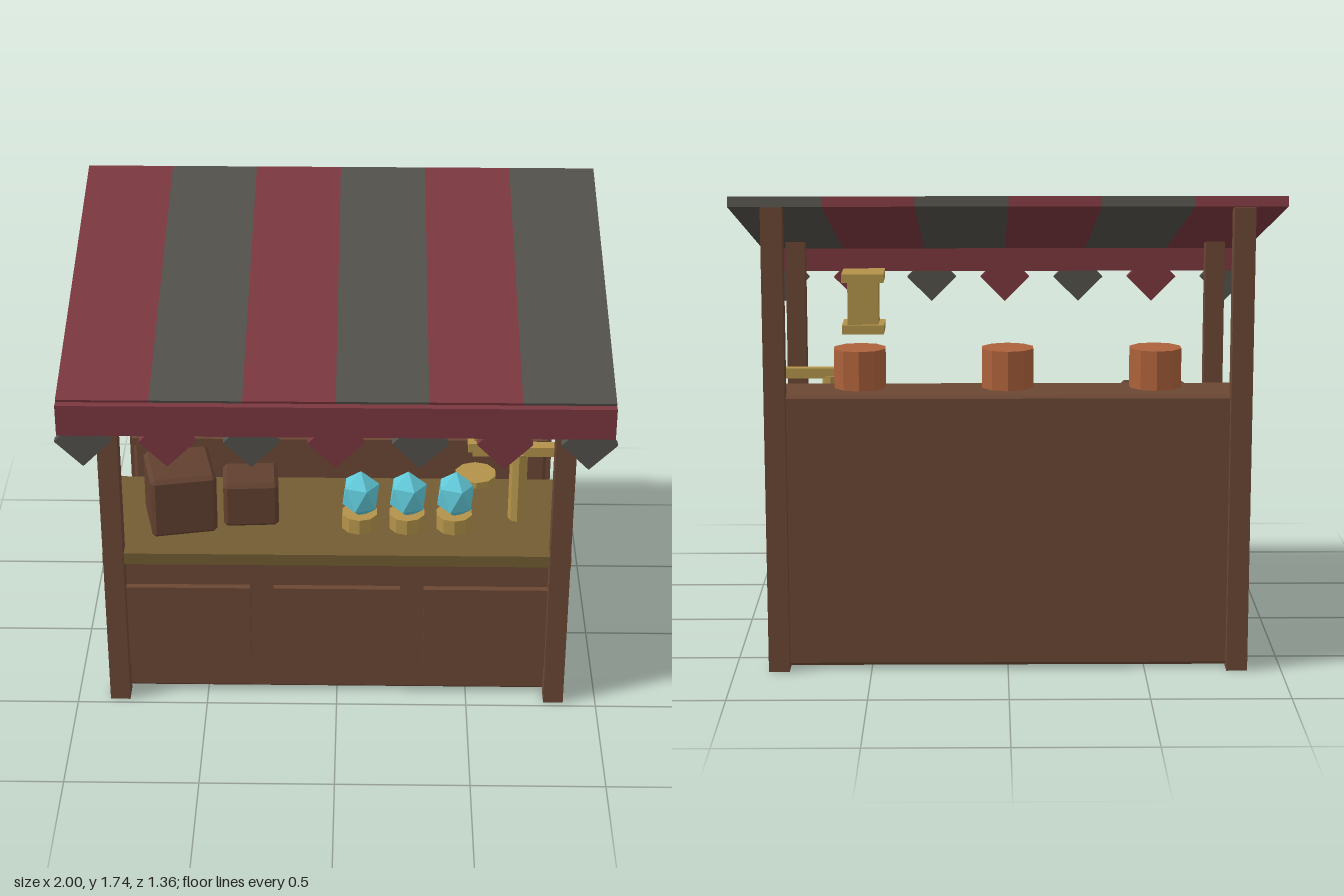
import * as THREE from 'three';
import { ConvexGeometry } from 'three/addons/geometries/ConvexGeometry.js';

const mat = (name, color) => {
  const m = new THREE.MeshStandardMaterial({ color, flatShading: true });
  m.name = name;
  return m;
};

// Box with every edge cut by a single chamfer
function chamferBox(w, h, d, c) {
  const points = [];
  for (const sx of [-1, 1]) for (const sy of [-1, 1]) for (const sz of [-1, 1]) {
    const [x, y, z] = [w / 2, h / 2, d / 2];
    points.push(
      new THREE.Vector3(sx * x, sy * (y - c), sz * (z - c)),
      new THREE.Vector3(sx * (x - c), sy * y, sz * (z - c)),
      new THREE.Vector3(sx * (x - c), sy * (y - c), sz * z));
  }
  return new ConvexGeometry(points);
}

export function createModel() {
  const wood = mat('wood', 0x6b4734);
  const crateWood = mat('crate wood', 0x624130);
  const topWood = mat('countertop wood', 0x735c33);
  const gold = mat('gold', 0xb3934a);
  const red = mat('red cloth', 0x7a373f);
  const grey = mat('grey cloth', 0x52504a);
  const clay = mat('clay', 0xad623b);
  const cyan = mat('crystal', 0x61c8d8);

  const model = new THREE.Group();
  model.name = 'marketStall';

  const add = (name, geometry, material, x, y, z, parent = model) => {
    const mesh = new THREE.Mesh(geometry, material);
    mesh.name = name;
    mesh.position.set(x, y, z);
    parent.add(mesh);
    return mesh;
  };
  // Box given by its limits on each axis
  const box = (name, material, [x0, x1], [y0, y1], [z0, z1], chamfer = 0) => {
    const s = [x1 - x0, y1 - y0, z1 - z0];
    const g = chamfer ? chamferBox(...s, chamfer) : new THREE.BoxGeometry(...s);
    return add(name, g, material, (x0 + x1) / 2, (y0 + y1) / 2, (z0 + z1) / 2);
  };
  const drum = (name, material, r, h, sides, x, y, z) =>
    add(name, new THREE.CylinderGeometry(r, r, h, sides), material, x, y, z);

  // Corner posts
  for (const x of [-0.8375, 0.8375]) {
    box('frontPost', wood, [x - 0.038, x + 0.038], [0, 1.44], [0.4, 0.478]);
    box('backPost', wood, [x - 0.038, x + 0.038], [0, 1.705], [-0.677, -0.6]);
  }

  // Counter with raised front panels
  box('counterBody', wood, [-0.838, 0.838], [0.01, 0.607], [-0.067, 0.405], 0.014);
  box('countertop', topWood, [-0.88, 0.88], [0.606, 0.653], [-0.113, 0.455]);
  for (const x of [-0.57, 0, 0.57])
    box('frontPanel', wood, [x - 0.24, x + 0.24], [0.13, 0.485], [0.4, 0.43]);

  // Back cabinet with shelves
  box('backCabinet', wood, [-0.838, 0.838], [0.01, 1.022], [-0.635, -0.389], 0.012);
  for (const y of [0.725, 0.965])
    box('shelf', wood, [-0.83, 0.83], [y - 0.016, y + 0.016], [-0.41, -0.263]);
  box('cabinetSeam', crateWood, [-0.75, 0.75], [0.824, 0.834], [-0.395, -0.383]);

  // Pots on the cabinet
  for (const x of [-0.54, 0, 0.54])
    drum('pot', clay, 0.098, 0.18, 10, x, 1.077, -0.46);

  // Sloping striped canopy
  const canopy = new THREE.Group();
  canopy.name = 'canopy';
  canopy.position.set(0, 1.563, -0.012);
  canopy.rotation.x = 0.243;
  model.add(canopy);
  const w = 1.98 / 6;
  for (let i = 0; i < 6; i++)
    add('canopyStripe', new THREE.BoxGeometry(w, 0.037, 1.358), i % 2 ? grey : red,
      (i - 2.5) * w, 0, 0, canopy);

  // Valance and pointed flags
  box('valance', red, [-0.99, 0.99], [1.288, 1.408], [0.644, 0.678]);
  for (let i = 0; i < 7; i++) {
    const flag = add('flag', new THREE.BoxGeometry(0.141, 0.141, 0.032), i % 2 ? red : grey,
      (i - 3) * 0.3, 1.263, 0.661);
    flag.rotation.z = Math.PI / 4;
  }

  // Crates on the counter
  const crate = (width, h, depth, x, z, turn) => {
    const c = add('crate', chamferBox(width, h, depth, 0.015), crateWood, x, 0.652 + h / 2, z);
    c.rotation.y = turn;
  };
  crate(0.25, 0.248, 0.25, -0.6, 0.202, 0.2);
  crate(0.21, 0.187, 0.18, -0.333, 0.17, 0.06);

  // Crystals on round stands
  for (const x of [0.085, 0.265, 0.445]) {
    drum('crystalStand', gold, 0.07, 0.062, 10, x, 0.684, 0.24);
    const g = new THREE.IcosahedronGeometry(0.078, 0);
    g.rotateZ(Math.atan(2 / (1 + Math.sqrt(5))));
    g.rotateY(Math.PI);
    g.scale(1, 1.28, 1);
    add('crystal', g, cyan, x + 0.004, 0.793, 0.24);
  }

  // Balance with one pan
  drum('balanceColumn', gold, 0.034, 0.29, 8, 0.687, 0.798, 0.173);
  box('balanceBeam', gold, [0.51, 0.865], [0.935, 0.975], [0.15, 0.196]);
  drum('balancePan', gold, 0.079, 0.024, 10, 0.525, 0.839, 0.173);

  // Lantern behind the front post
  const lx = 0.565, lz = 0.35;
  const tier = (name, r, y0, y1) =>
    box(name, gold, [lx - r, lx + r], [y0, y1], [lz - r, lz + r]);
  tier('lanternBase', 0.083, 1.09, 1.125);
  tier('lanternBody', 0.061, 1.125, 1.296);
  tier('lanternCap', 0.083, 1.295, 1.33);

  return model;
}
